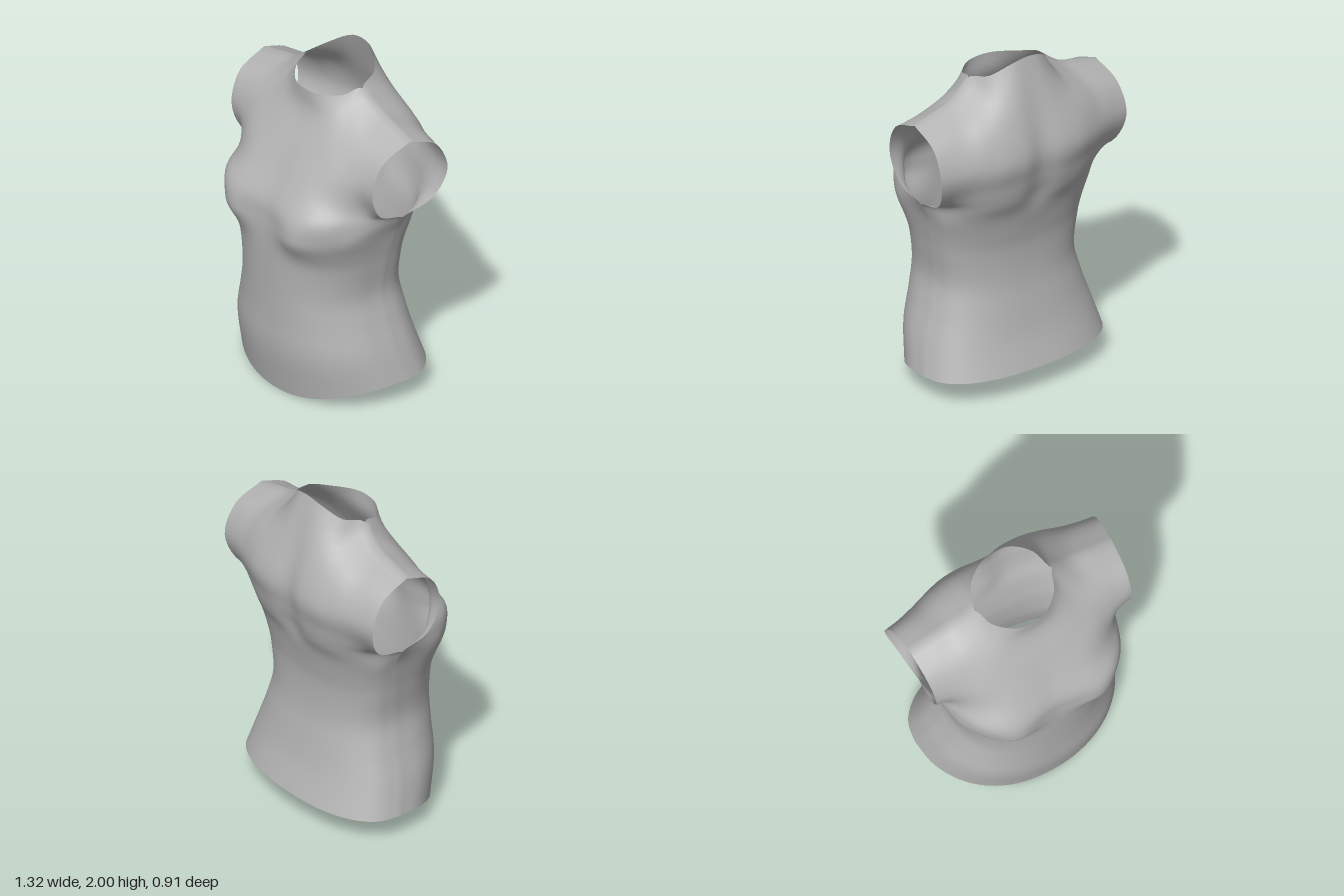
import * as THREE from 'three';
import { mergeVertices } from 'three/addons/utils/BufferGeometryUtils.js';

const COLS = 6;      // control spans from centre line to side
const FINE = 5;      // subdivisions per control span

// Trunk rings: front/side/back height, half width, side z, front z, front fullness, back z, back fullness
const TRUNK = [
  [0.0, 0.145, 0.155, 0.6, -0.12, 0.355, 2.2, -0.45, 2.3],
  [0.27, 0.33, 0.33, 0.552, -0.07, 0.4, 2.3, -0.39, 2.4],
  [0.48, 0.5, 0.5, 0.498, -0.05, 0.405, 2.3, -0.352, 2.4],
  [0.66, 0.67, 0.66, 0.46, -0.04, 0.41, 2.3, -0.326, 2.4],
  [0.86, 0.86, 0.84, 0.484, -0.05, 0.418, 2.3, -0.322, 2.4],
  [0.98, 0.98, 0.96, 0.508, -0.06, 0.42, 2.6, -0.338, 2.4],
  [1.1, 1.1, 1.09, 0.54, -0.08, 0.415, 3.1, -0.367, 2.4],
];

// Shoulder seam, shared by chest and back
const SEAM = [[0.25, 1.875, -0.08], [0.37, 1.788, -0.1], [0.5, 1.75, -0.1], [0.645, 1.71, -0.1]];

// Chest sections from armpit to neckline, centre to arm opening
const CHEST = [
  [[0, 1.22, 0.4], [0.14, 1.22, 0.41], [0.27, 1.22, 0.405], [0.38, 1.22, 0.37], [0.47, 1.21, 0.28], [0.54, 1.2, 0.11], [0.59, 1.2, -0.09]],
  [[0, 1.36, 0.325], [0.13, 1.36, 0.333], [0.26, 1.35, 0.33], [0.37, 1.33, 0.29], [0.46, 1.3, 0.22], [0.53, 1.28, 0.13], [0.605, 1.27, 0.08]],
  [[0, 1.52, 0.24], [0.13, 1.52, 0.24], [0.25, 1.51, 0.235], [0.35, 1.5, 0.22], [0.45, 1.48, 0.19], [0.54, 1.46, 0.165], [0.62, 1.45, 0.15]],
  [[0, 1.7, 0.145], [0.12, 1.7, 0.14], [0.22, 1.695, 0.125], [0.32, 1.68, 0.1], [0.43, 1.66, 0.085], [0.54, 1.64, 0.08], [0.635, 1.63, 0.08]],
  [[0, 1.84, 0.135], [0.1, 1.84, 0.115], [0.2, 1.847, 0.03], ...SEAM],
];

// Back sections over the same rows
const BACK = [
  [[0, 1.2, -0.385], [0.14, 1.2, -0.405], [0.27, 1.2, -0.39], [0.38, 1.2, -0.35], [0.47, 1.2, -0.29], [0.54, 1.2, -0.2], [0.59, 1.2, -0.09]],
  [[0, 1.32, -0.415], [0.14, 1.32, -0.435], [0.27, 1.32, -0.42], [0.38, 1.31, -0.385], [0.47, 1.29, -0.34], [0.55, 1.28, -0.3], [0.62, 1.27, -0.275]],
  [[0, 1.48, -0.43], [0.13, 1.48, -0.455], [0.26, 1.48, -0.45], [0.37, 1.48, -0.42], [0.47, 1.47, -0.39], [0.57, 1.455, -0.365], [0.66, 1.45, -0.35]],
  [[0, 1.72, -0.368], [0.12, 1.72, -0.375], [0.23, 1.71, -0.36], [0.34, 1.69, -0.33], [0.45, 1.66, -0.3], [0.56, 1.645, -0.285], [0.655, 1.63, -0.275]],
  [[0, 2, -0.28], [0.1, 1.98, -0.268], [0.2, 1.915, -0.2], ...SEAM],
];

// Half of a trunk ring as a rounded-box curve from the centre line to the side
function trunkHalf([yFront, ySide, yBack, w, zSide, zFront, nFront, zBack, nBack], front) {
  const yc = front ? yFront : yBack, zc = front ? zFront : zBack, n = front ? nFront : nBack;
  return Array.from({ length: COLS + 1 }, (_, i) => {
    const s = Math.sin((i / COLS) * Math.PI / 2);
    const c = i === COLS ? 0 : Math.pow(1 - Math.pow(s, n), 1 / n);
    return [w * s, yc + (ySide - yc) * s * s, zSide + (zc - zSide) * c];
  });
}

// Smooth curve through points; the start is mirrored in x when asked
function smooth(points, mirrorStart) {
  const first = points[0], last = points.length - 1, out = [];
  const before = mirrorStart
    ? [-points[1][0], points[1][1], points[1][2]]
    : first.map((v, k) => 2 * v - points[1][k]);
  const after = points[last].map((v, k) => 2 * v - points[last - 1][k]);
  for (let i = 0; i < last; i++) {
    const a = i ? points[i - 1] : before, b = points[i], c = points[i + 1];
    const d = i + 2 <= last ? points[i + 2] : after;
    for (let j = 0; j < FINE; j++) {
      const t = j / FINE;
      out.push(b.map((v, k) => v + 0.5 * t * (c[k] - a[k]
        + t * (2 * a[k] - 5 * v + 4 * c[k] - d[k] + t * (3 * (v - c[k]) + d[k] - a[k])))));
    }
  }
  out.push([...points[last]]);
  return out;
}

// Refine the control rows in both directions
function panel(upper, front) {
  const rows = [...TRUNK.map(r => trunkHalf(r, front)), ...upper];
  const columns = rows[0].map((_, i) => smooth(rows.map(r => r[i]), false));
  return columns[0].map((_, j) => smooth(columns.map(c => c[j]), true));
}

function torsoGeometry() {
  const front = panel(CHEST, true), back = panel(BACK, false);
  const top = front.length - 1, side = COLS * FINE, armpit = TRUNK.length * FINE;

  // Bust fullness, with a tighter fold below
  for (const row of front) for (const p of row) {
    const dx = (p[0] - 0.28) / 0.15, dy = (p[1] - 1.08) / (p[1] < 1.08 ? 0.1 : 0.13);
    if (p[2] > 0) p[2] += 0.055 * Math.exp(-dx * dx - dy * dy);
  }

  // Close the side seams and shoulder seams
  const join = (j, i) => {
    const mid = front[j][i].map((v, k) => (v + back[j][i][k]) / 2);
    front[j][i] = mid;
    back[j][i] = mid;
  };
  for (let j = 0; j <= armpit; j++) join(j, side);
  for (let i = 3 * FINE; i < side; i++) join(top, i);
  join(top, side);

  // Four quarter shells, mirrored left and right
  const pos = [], index = [];
  for (const [grid, facing] of [[front, 1], [back, -1]]) for (const m of [1, -1]) {
    const base = pos.length / 3, n = side + 1;
    for (const row of grid) for (const [x, y, z] of row) pos.push(m * x, y, z);
    for (let j = 0; j < top; j++) for (let i = 0; i < side; i++) {
      const a = base + j * n + i, b = a + 1, c = b + n, d = a + n;
      if (m * facing > 0) index.push(a, b, c, a, c, d);
      else index.push(a, c, b, a, d, c);
    }
  }
  const geo = new THREE.BufferGeometry();
  geo.setAttribute('position', new THREE.Float32BufferAttribute(pos, 3));
  geo.setIndex(index);
  const merged = mergeVertices(geo, 1e-4);
  merged.computeVertexNormals();
  return merged;
}

export function createModel() {
  const grey = new THREE.MeshStandardMaterial({ color: 0xb4b4b4, side: THREE.DoubleSide });
  grey.name = 'plain grey';
  const torso = new THREE.Mesh(torsoGeometry(), grey);
  torso.name = 'torsoShell';
  const model = new THREE.Group();
  model.name = 'torso';
  model.add(torso);
  return model;
}
